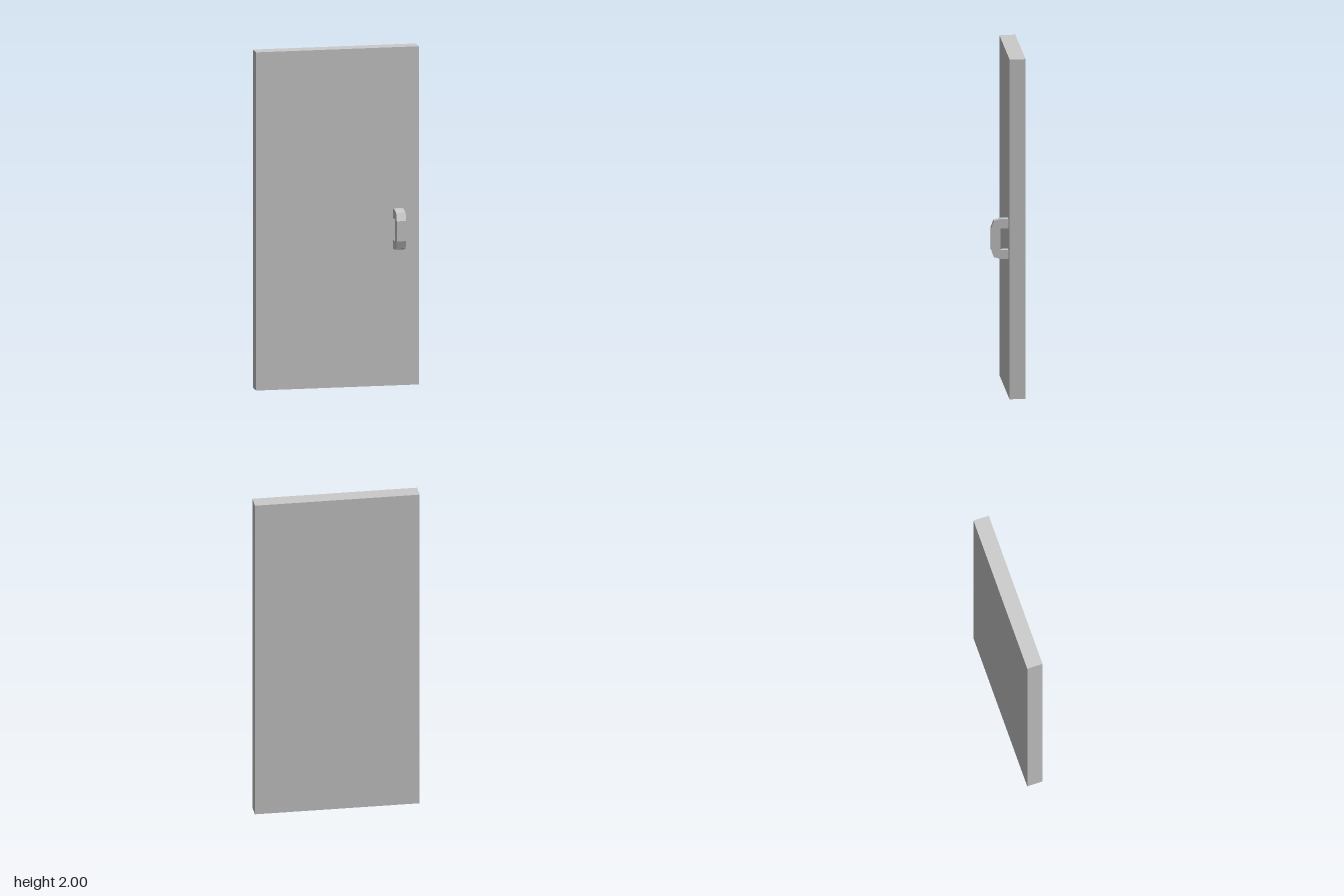
import * as THREE from 'three';

const material = new THREE.MeshStandardMaterial({ color: 0xcccccc, flatShading: true });
const FACE_Z = -0.004; // front face of the door panel

export function createModel() {
  const model = new THREE.Group();
  model.name = 'door';

  // Plain slab
  const back = -0.098;
  const panel = new THREE.Mesh(new THREE.BoxGeometry(0.97, 2, FACE_Z - back), material);
  panel.name = 'doorPanel';
  panel.position.set(0, 1, (FACE_Z + back) / 2);
  model.add(panel);

  // Pull handle: C-shaped side profile as [z, y], extruded across x
  const profile = [
    [FACE_Z, 1.047], [0.036, 1.047], [0.081, 1.035], [0.098, 0.988],
    [0.098, 0.869], [0.081, 0.822], [0.036, 0.81], [FACE_Z, 0.81],
    [FACE_Z, 0.863], [0.042, 0.863], [0.042, 0.991], [FACE_Z, 0.991],
  ];
  const shape = new THREE.Shape(profile.map(([z, y]) => new THREE.Vector2(-z, y)));
  const geometry = new THREE.ExtrudeGeometry(shape, { depth: 0.056, bevelEnabled: false });
  geometry.rotateY(Math.PI / 2);
  const handle = new THREE.Mesh(geometry, material);
  handle.name = 'pullHandle';
  handle.position.x = 0.33;
  model.add(handle);

  return model;
}
